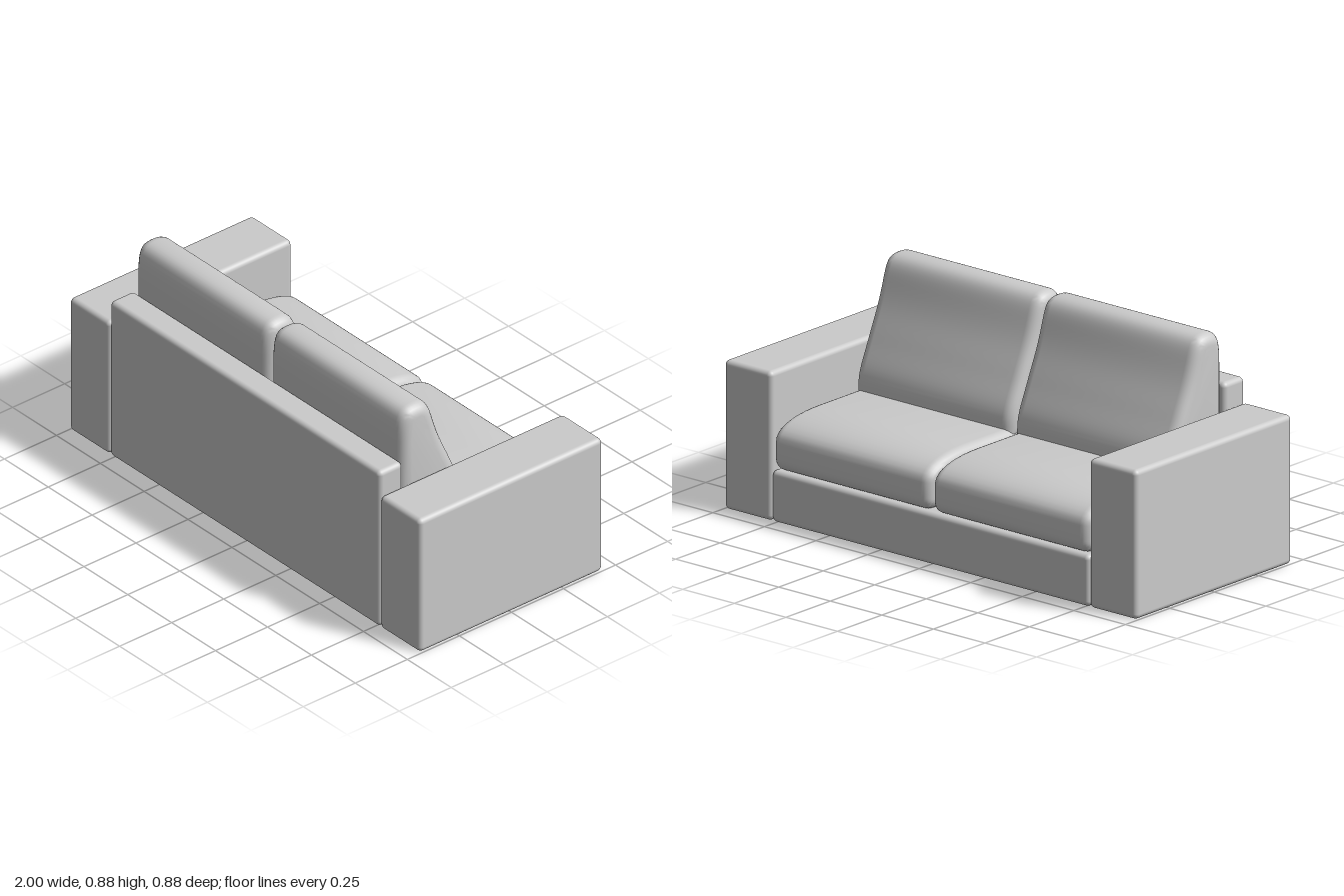
import * as THREE from 'three';
import { toCreasedNormals } from 'three/addons/utils/BufferGeometryUtils.js';
import { RoundedBoxGeometry } from 'three/addons/geometries/RoundedBoxGeometry.js';

const material = new THREE.MeshStandardMaterial({ color: 0xcccccc });

// Rounded block given by its minimum and maximum on each axis
function block(name, [x0, x1], [y0, y1], [z0, z1], radius = 0.02) {
  const geometry = new RoundedBoxGeometry(x1 - x0, y1 - y0, z1 - z0, 4, radius);
  const mesh = new THREE.Mesh(geometry, material);
  mesh.name = name;
  mesh.position.set((x0 + x1) / 2, (y0 + y1) / 2, (z0 + z1) / 2);
  return mesh;
}

// Cushion: a side profile in (z, y) swept across x, with soft rounded sides
function cushionGeometry(profile, width, round) {
  const depth = width - 2 * round;
  const geometry = new THREE.ExtrudeGeometry(profile, {
    depth, curveSegments: 10, bevelEnabled: true, bevelSegments: 6,
    bevelSize: round, bevelThickness: round, bevelOffset: -round,
  });
  geometry.translate(0, 0, -depth / 2);
  geometry.rotateY(-Math.PI / 2);
  return toCreasedNormals(geometry, 0.7);
}

// Seat: flat underneath, with a broad roll over the front edge
function seatProfile() {
  const s = new THREE.Shape();
  s.moveTo(0.325, 0.2);
  s.lineTo(0.325, 0.4);
  s.lineTo(-0.2, 0.4);
  s.bezierCurveTo(-0.33, 0.4, -0.44, 0.375, -0.44, 0.31);
  s.lineTo(-0.44, 0.25);
  s.quadraticCurveTo(-0.44, 0.2, -0.39, 0.2);
  s.closePath();
  return s;
}

// Backrest: upright behind, rounded on top, sweeping forward to the seat
function backProfile() {
  const s = new THREE.Shape();
  s.moveTo(0.02, 0.36);
  s.lineTo(0.327, 0.36);
  s.lineTo(0.327, 0.75);
  s.bezierCurveTo(0.327, 0.86, 0.31, 0.885, 0.25, 0.885);
  s.bezierCurveTo(0.19, 0.885, 0.18, 0.855, 0.16, 0.79);
  s.bezierCurveTo(0.13, 0.69, 0.11, 0.66, 0.075, 0.578);
  s.bezierCurveTo(0.045, 0.51, 0.02, 0.47, 0.02, 0.41);
  s.closePath();
  return s;
}

export function createModel() {
  const sofa = new THREE.Group();
  sofa.name = 'sofa';

  // Frame
  sofa.add(block('base', [-0.77, 0.77], [0, 0.2], [-0.44, 0.325]));
  sofa.add(block('backPanel', [-0.77, 0.77], [0, 0.675], [0.325, 0.44]));
  sofa.add(block('leftArm', [0.77, 1], [0, 0.577], [-0.44, 0.44]));
  sofa.add(block('rightArm', [-1, -0.77], [0, 0.577], [-0.44, 0.44]));

  // Two seat cushions and two back cushions
  const seat = cushionGeometry(seatProfile(), 0.764, 0.04);
  const back = cushionGeometry(backProfile(), 0.764, 0.045);
  for (const [side, sign] of [['left', 1], ['right', -1]]) {
    for (const [part, geometry] of [['SeatCushion', seat], ['BackCushion', back]]) {
      const mesh = new THREE.Mesh(geometry, material);
      mesh.name = side + part;
      mesh.position.x = sign * 0.385;
      sofa.add(mesh);
    }
  }
  return sofa;
}
